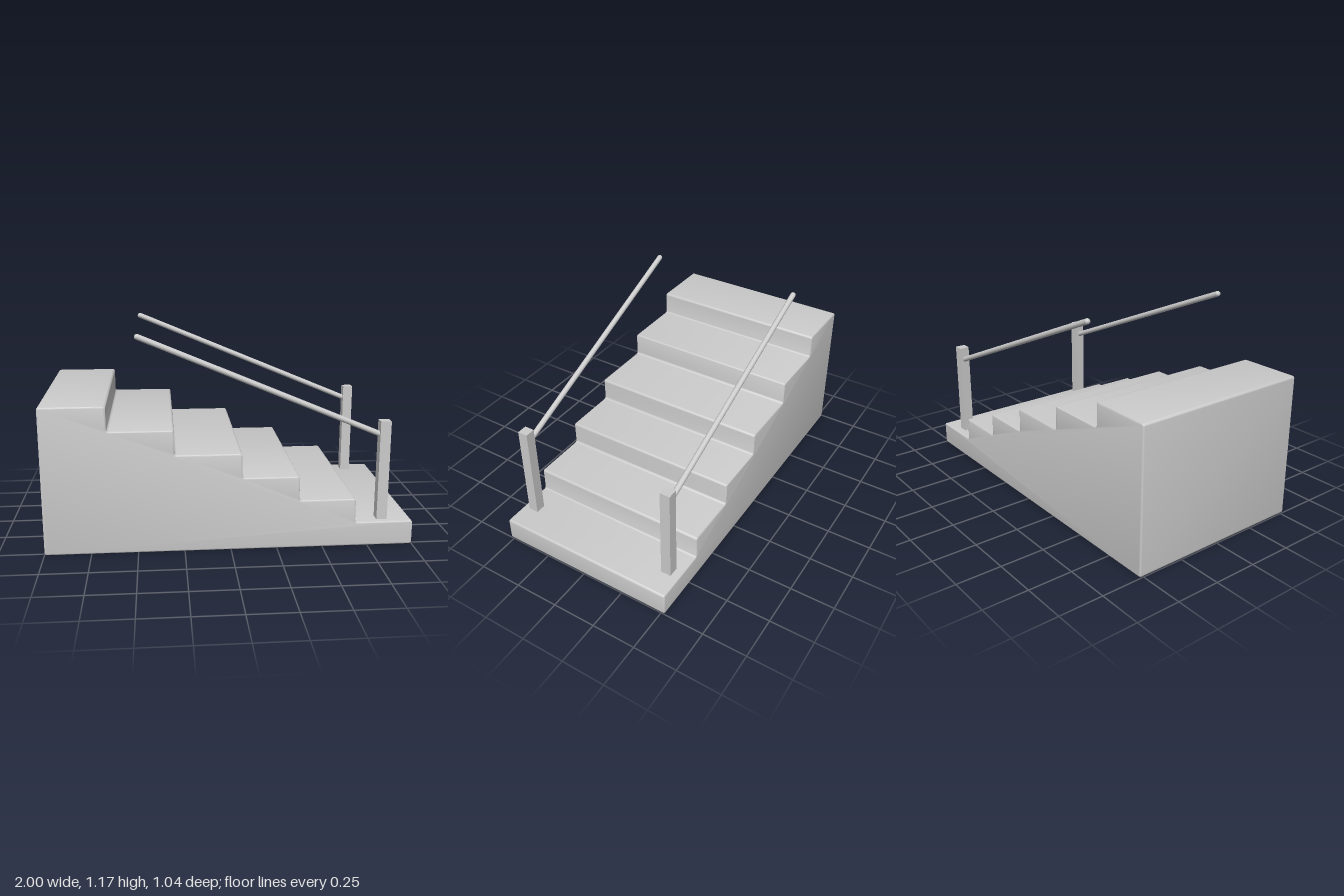
import * as THREE from 'three';
import { toCreasedNormals } from 'three/addons/utils/BufferGeometryUtils.js';

const DEPTH = 1.04;
const RISE = 0.135;
const RISERS = [1, 0.68, 0.37, 0.06, -0.3, -0.65]; // x of each riser, lowest first

const material = new THREE.MeshStandardMaterial({ color: 0xcccccc });

function addMesh(parent, name, geometry) {
  const mesh = new THREE.Mesh(geometry, material);
  mesh.name = name;
  parent.add(mesh);
  return mesh;
}

// Closed outline whose corners are softened by radius r
function roundedOutline(points, r) {
  const shape = new THREE.Shape();
  const n = points.length;
  points.forEach((p, i) => {
    const toward = (q) => p.clone().add(q.clone().sub(p).setLength(r));
    const a = toward(points[(i + n - 1) % n]);
    const b = toward(points[(i + 1) % n]);
    if (i === 0) shape.moveTo(a.x, a.y);
    else shape.lineTo(a.x, a.y);
    shape.quadraticCurveTo(p.x, p.y, b.x, b.y);
  });
  shape.closePath();
  return shape;
}

// Solid flight of steps: stepped profile extruded across z with a soft edge
function stairGeometry() {
  const points = [new THREE.Vector2(-1, 0), new THREE.Vector2(1, 0)];
  RISERS.forEach((x, i) => {
    if (i > 0) points.push(new THREE.Vector2(x, i * RISE));
    points.push(new THREE.Vector2(x, (i + 1) * RISE));
  });
  points.push(new THREE.Vector2(-1, RISERS.length * RISE));
  const bevel = 0.008;
  const geometry = new THREE.ExtrudeGeometry(roundedOutline(points, 0.014), {
    depth: DEPTH - 2 * bevel,
    bevelThickness: bevel,
    bevelSize: bevel,
    bevelOffset: -bevel,
    bevelSegments: 3,
    curveSegments: 4,
  });
  geometry.translate(0, 0, -DEPTH / 2 + bevel);
  return toCreasedNormals(geometry, 0.7);
}

// Sloping round rail with domed ends
function addRail(parent, name, start, end, radius) {
  const direction = end.clone().sub(start);
  const rail = addMesh(parent, name, new THREE.CapsuleGeometry(radius, direction.length(), 6, 16));
  rail.position.copy(start).lerp(end, 0.5);
  rail.quaternion.setFromUnitVectors(new THREE.Vector3(0, 1, 0), direction.normalize());
}

export function createModel() {
  const model = new THREE.Group();
  model.name = 'staircase';

  addMesh(model, 'steps', stairGeometry());

  // One post and handrail on each side
  for (const [side, z] of [['front', 0.452], ['back', -0.444]]) {
    const railing = new THREE.Group();
    railing.name = side + 'Railing';
    railing.position.z = z;
    model.add(railing);

    const post = addMesh(railing, side + 'Post', new THREE.BoxGeometry(0.058, 0.56, 0.058));
    post.position.set(0.836, 0.41, 0);

    addRail(railing, side + 'Handrail',
      new THREE.Vector3(-0.48, 1.157, 0), new THREE.Vector3(0.83, 0.607, 0), 0.0155);
  }
  return model;
}
